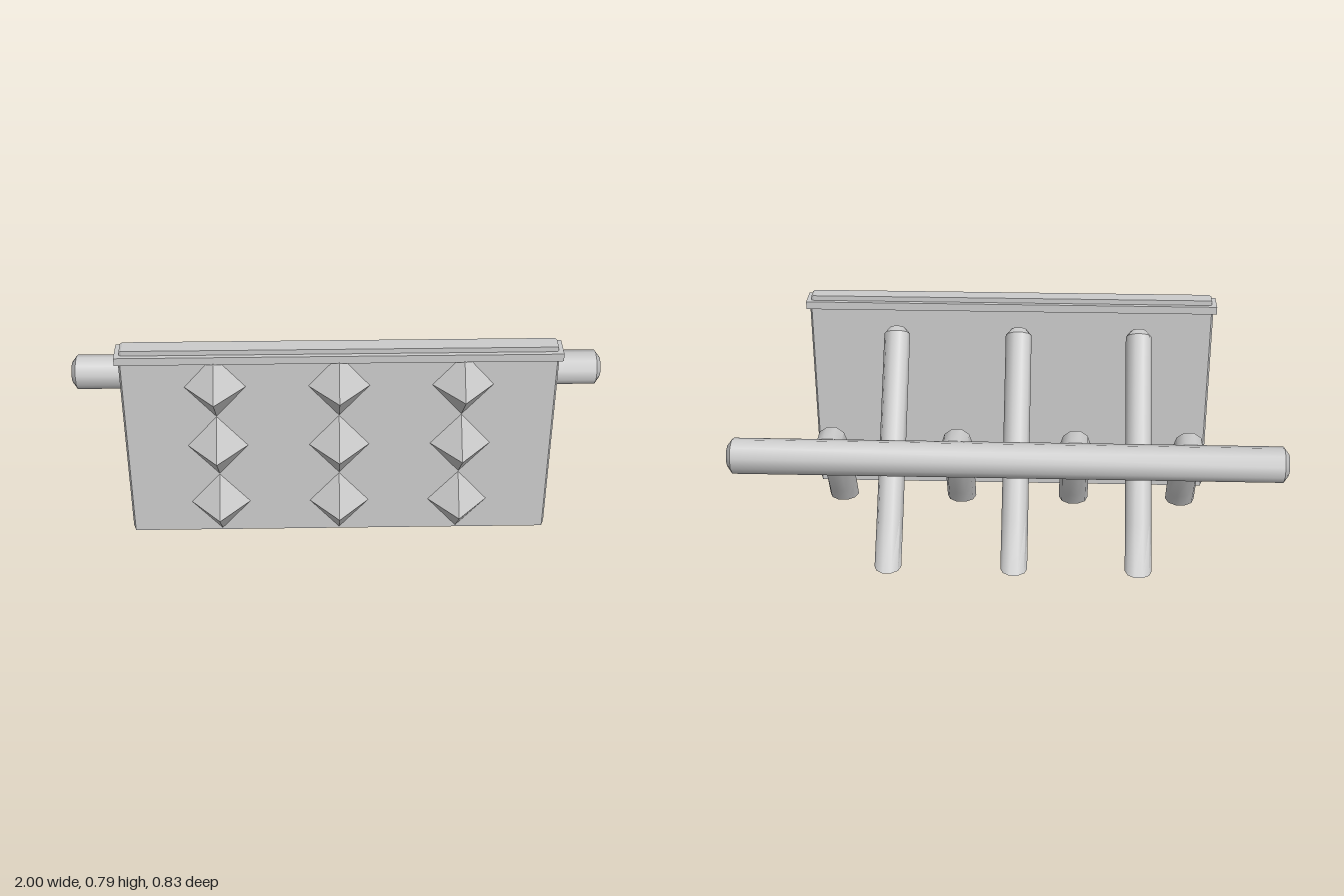
import * as THREE from 'three';
import { toCreasedNormals } from 'three/addons/utils/BufferGeometryUtils.js';

const grey = new THREE.MeshStandardMaterial({ color: 0xcccccc });
const SIDES = 10;

function add(parent, geometry, name, x = 0, y = 0, z = 0) {
  const mesh = new THREE.Mesh(geometry, grey);
  mesh.name = name;
  mesh.position.set(x, y, z);
  parent.add(mesh);
  return mesh;
}

// Skins a pole over rings given as [centre, direction, radius], closed at both ends.
function pole(rings, up) {
  const u = new THREE.Vector3(...up);
  const loops = rings.map(([centre, direction, radius]) => {
    const c = new THREE.Vector3(...centre);
    const v = new THREE.Vector3(...direction).normalize().cross(u);
    return Array.from({ length: SIDES }, (_, j) => {
      const a = (j / SIDES) * Math.PI * 2;
      return c.clone().addScaledVector(u, Math.cos(a) * radius).addScaledVector(v, Math.sin(a) * radius);
    });
  });
  const points = [];
  const last = loops.length - 1;
  const start = new THREE.Vector3(...rings[0][0]);
  const end = new THREE.Vector3(...rings[last][0]);
  for (let j = 0; j < SIDES; j++) {
    const k = (j + 1) % SIDES;
    points.push(start, loops[0][k], loops[0][j], end, loops[last][j], loops[last][k]);
    for (let i = 0; i < last; i++) {
      const [a, b, c, d] = [loops[i][j], loops[i][k], loops[i + 1][k], loops[i + 1][j]];
      points.push(a, b, c, a, c, d);
    }
  }
  const geometry = new THREE.BufferGeometry().setFromPoints(points);
  return toCreasedNormals(geometry, 0.66);
}

// Box lying along x whose two ends are chamfered.
function plank(length, height, depth, bevel) {
  const w = depth / 2 - bevel;
  const h = height / 2 - bevel;
  const shape = new THREE.Shape([
    new THREE.Vector2(-w, -h), new THREE.Vector2(w, -h),
    new THREE.Vector2(w, h), new THREE.Vector2(-w, h),
  ]);
  const thickness = 0.008;
  const geometry = new THREE.ExtrudeGeometry(shape, {
    depth: length - thickness * 2, bevelEnabled: true,
    bevelThickness: thickness, bevelSize: bevel, bevelSegments: 1,
  });
  geometry.translate(0, 0, thickness - length / 2);
  return geometry.rotateY(Math.PI / 2);
}

export function createModel() {
  const model = new THREE.Group();
  model.name = 'spikedBarricade';

  // Shield wall with its top rail
  add(model, plank(1.5, 0.742, 0.056, 0.014), 'wallPanel', 0, 0.371, 0.274);
  add(model, new THREE.BoxGeometry(1.52, 0.029, 0.087), 'topLedge', 0, 0.753, 0.275);
  add(model, plank(1.485, 0.024, 0.056, 0.004), 'topCap', 0, 0.774, 0.275);

  // Three columns of four-sided spikes
  const spike = new THREE.ConeGeometry(1, 0.118, 4, 1).toNonIndexed();
  spike.computeVertexNormals();
  spike.rotateX(Math.PI / 2).scale(0.107, 0.127, 1);
  for (const x of [-0.425, 0, 0.425]) {
    for (const y of [0.132, 0.385, 0.636]) add(model, spike, 'spike', x, y, 0.359);
  }

  // Long crossbar with chamfered ends
  const bar = [[-1, 0.04], [-0.982, 0.065], [0.982, 0.065], [1, 0.04]];
  add(model, pole(bar.map(([x, r]) => [[x, 0.355, -0.207], [1, 0, 0], r]), [0, 1, 0]), 'crossbar');

  // Slanted braces, flat on the ground and blunt at the top
  const slope = [0, 0.76, 0.65];
  const brace = pole([
    [[0, 0, -0.368], [0, 1, 0], 0.048],
    [[0, 0.122, -0.255], slope, 0.048],
    [[0, 0.655, 0.205], slope, 0.048],
    [[0, 0.672, 0.221], slope, 0.029],
  ], [1, 0, 0]);
  for (const x of [-0.475, -0.03, 0.422]) add(model, brace, 'brace', x);

  // Bent legs running up into the crossbar
  const lean = [0, 0.87, -0.5];
  const leg = pole([
    [[0, 0, 0.144], [0, 1, 0], 0.055],
    [[0, 0.085, 0.102], lean, 0.055],
    [[0, 0.25, -0.003], lean, 0.055],
    [[0, 0.355, -0.077], [0, 0, -1], 0.055],
    [[0, 0.355, -0.2], [0, 0, -1], 0.055],
  ], [1, 0, 0]);
  for (const x of [-0.655, -0.245, 0.186, 0.643]) add(model, leg, 'leg', x);

  return model;
}
